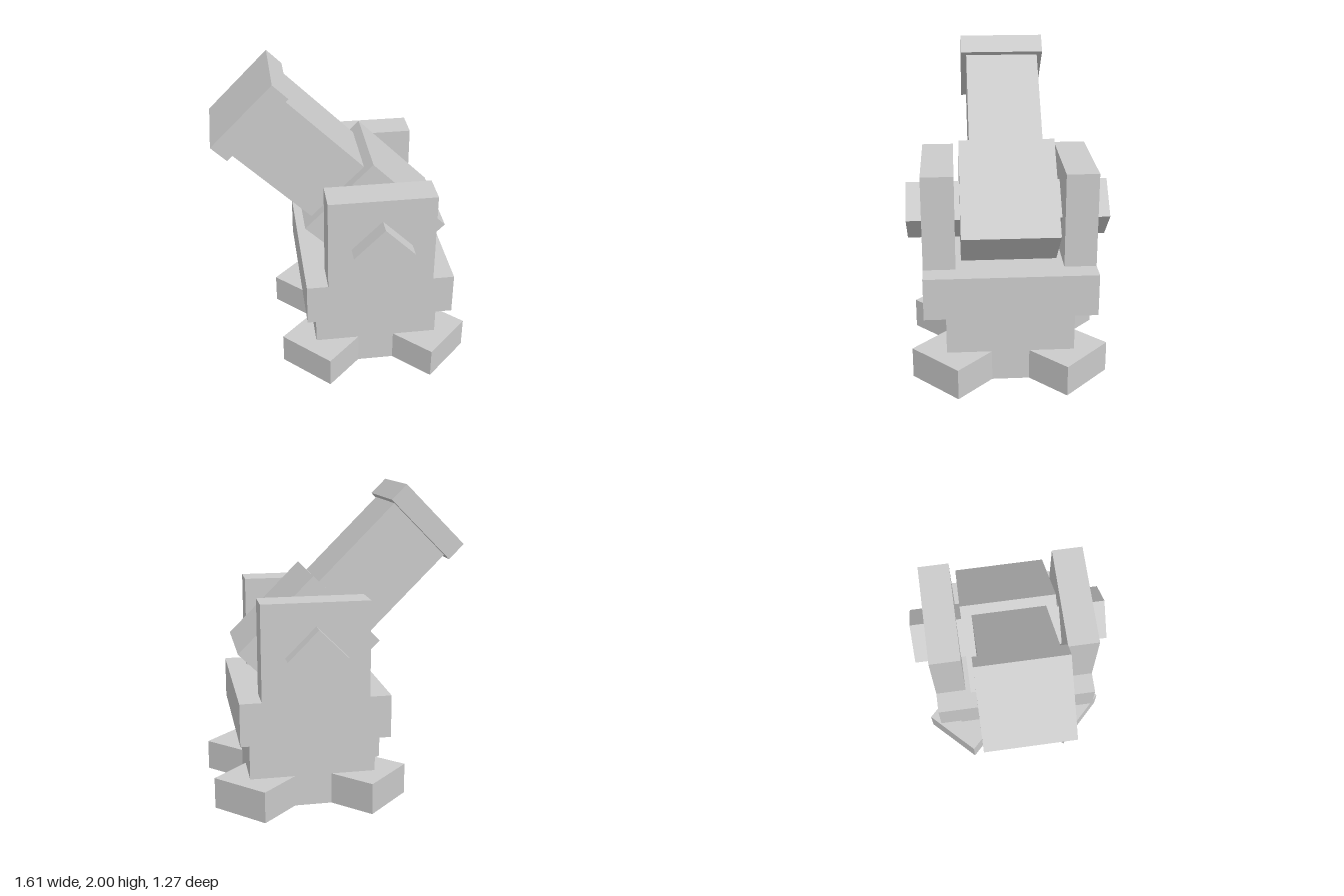
import * as THREE from 'three';

const material = new THREE.MeshStandardMaterial({ color: 0xcccccc, flatShading: true });

function addBox(parent, name, [w, h, d], [x, y, z]) {
  const mesh = new THREE.Mesh(new THREE.BoxGeometry(w, h, d), material);
  mesh.name = name;
  mesh.position.set(x, y, z);
  parent.add(mesh);
  return mesh;
}

export function createModel() {
  const model = new THREE.Group();
  model.name = 'mortar';
  const cx = 0.1875; // axis of the mount
  const pivotY = 1.0075; // height of the trunnion

  // Four-footed base: one corner foot, turned through four quarters
  const corner = [[0.4, 0.117], [0.617, 0.334], [0.334, 0.617], [0.117, 0.4]];
  const outline = [];
  for (let i = 0; i < 4; i++) {
    for (const [x, y] of corner) {
      outline.push(new THREE.Vector2(x, y).rotateAround(new THREE.Vector2(), i * Math.PI / 2));
    }
  }
  const footing = new THREE.ExtrudeGeometry(new THREE.Shape(outline), { depth: 0.2, bevelEnabled: false });
  footing.rotateX(-Math.PI / 2);
  const base = new THREE.Mesh(footing, material);
  base.name = 'footedBase';
  base.position.x = cx;
  model.add(base);

  // Pedestal and platform
  addBox(model, 'pedestal', [0.8, 0.27, 0.8], [cx, 0.335, 0]);
  addBox(model, 'platform', [0.935, 0.27, 1.07], [cx, 0.605, 0]);

  // Uprights on both sides of the barrel
  for (const side of [1, -1]) {
    addBox(model, side > 0 ? 'frontUpright' : 'backUpright', [0.667, 0.6, 0.2], [cx, 1.04, side * 0.435]);
  }

  // Tilted assembly: local +y runs along the barrel
  const gun = new THREE.Group();
  gun.name = 'barrelAssembly';
  gun.position.set(cx, pivotY, 0);
  gun.rotation.z = Math.PI / 4;
  model.add(gun);
  addBox(gun, 'trunnion', [0.267, 0.267, 1.27], [0, 0, 0]);
  addBox(gun, 'breech', [0.6, 0.667, 0.6], [0, 0, 0]);
  addBox(gun, 'barrel', [0.467, 0.675, 0.467], [0, 0.671, 0]);
  addBox(gun, 'muzzleCap', [0.534, 0.132, 0.534], [0, 1.071, 0]);

  return model;
}
